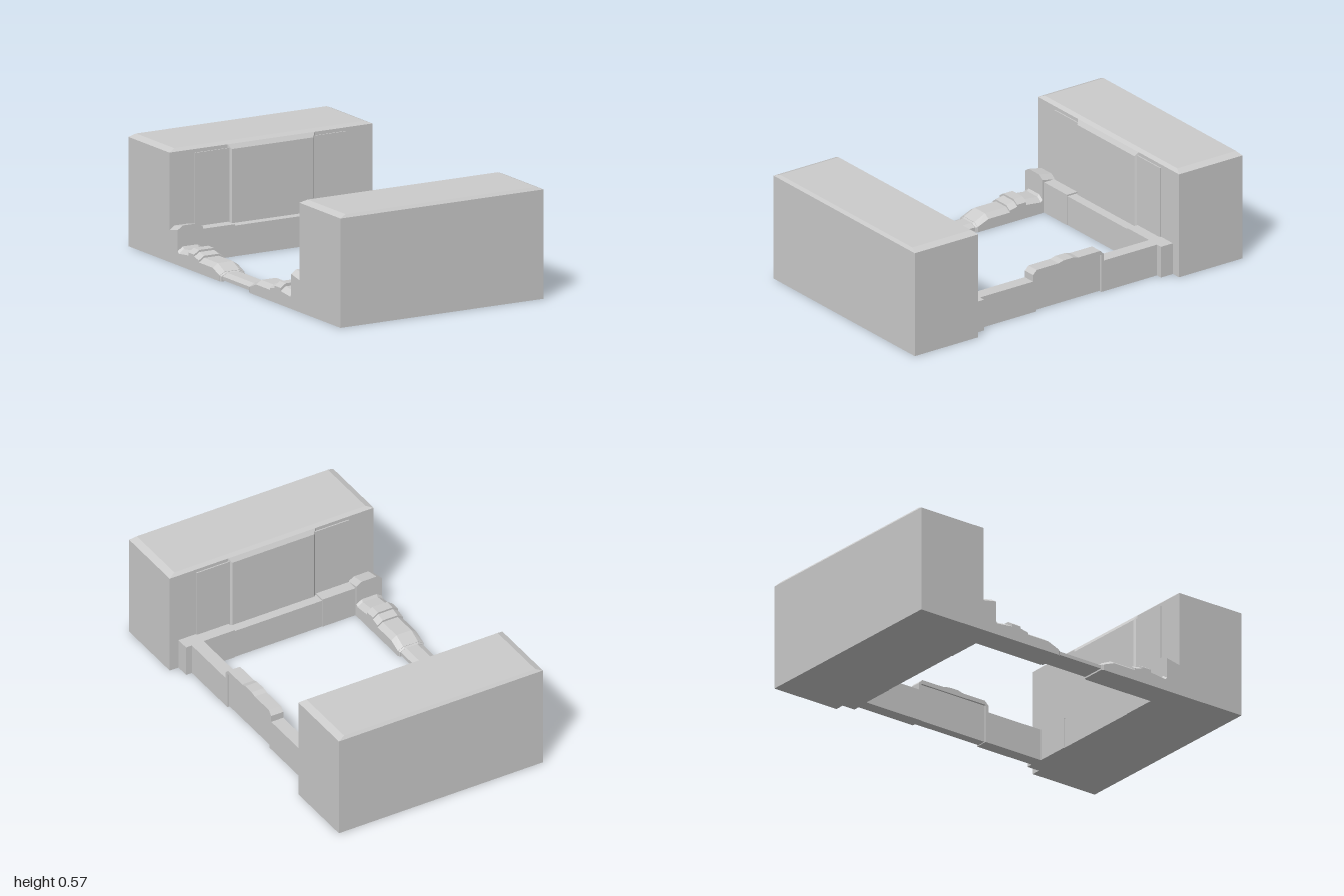
import * as THREE from 'three';
import { ConvexGeometry } from 'three/addons/geometries/ConvexGeometry.js';

const material = new THREE.MeshStandardMaterial({ color: 0xcccccc, flatShading: true });

export function createModel() {
  const model = new THREE.Group();

  const add = (parent, name, geometry) => {
    const mesh = new THREE.Mesh(geometry, material);
    mesh.name = name;
    parent.add(mesh);
    return mesh;
  };
  // Box given by its limits
  const box = (parent, name, x0, x1, y0, y1, z0, z1) => {
    const mesh = add(parent, name, new THREE.BoxGeometry(x1 - x0, y1 - y0, z1 - z0));
    mesh.position.set((x0 + x1) / 2, (y0 + y1) / 2, (z0 + z1) / 2);
    return mesh;
  };
  // Faceted solid around rectangles [x0, x1, z0, z1, y]
  const stack = (parent, name, rects) => add(parent, name, new ConvexGeometry(
    rects.flatMap(([x0, x1, z0, z1, y]) => [[x0, z0], [x1, z0], [x1, z1], [x0, z1]]
      .map(([x, z]) => new THREE.Vector3(x, y, z)))));
  // Piece of kerb between two stations [z, height, inset]
  const kerbPiece = (parent, name, a, b, base = 0) => add(parent, name, new ConvexGeometry(
    [a, b].flatMap(([z, h, inset]) => {
      const l = -0.585 + inset, r = -0.44 - inset, c = Math.min(0.02, h * 0.35);
      return [[l, base], [r, base], [r, h - c], [r - 0.03, h], [l + 0.03, h], [l, h - c]]
        .map(([x, y]) => new THREE.Vector3(x, y, z));
    })));

  // Everything at the two ends is mirrored in z
  for (const s of [1, -1]) {
    const end = new THREE.Group();
    end.name = s > 0 ? 'frontEnd' : 'backEnd';
    model.add(end);
    const zr = (a, b) => (s > 0 ? [a, b] : [-b, -a]);

    // Large block with chamfered top
    stack(end, 'block', [
      [-0.585, 0.585, ...zr(0.613, 1), 0],
      [-0.585, 0.585, ...zr(0.613, 1), 0.553],
      [-0.548, 0.548, ...zr(0.63, 0.988), 0.568],
    ]);

    // Inner wall panels
    stack(end, 'centrePanel', [
      [-0.25, 0.25, ...zr(0.613, 0.65), 0.1],
      [-0.25, 0.25, ...zr(0.613, 0.65), 0.553],
      [-0.235, 0.235, ...zr(0.598, 0.65), 0.1],
      [-0.235, 0.235, ...zr(0.598, 0.65), 0.53],
    ]);
    for (const m of [1, -1]) {
      const xs = m > 0 ? [0.24, 0.435] : [-0.44, -0.24];
      box(end, 'sidePanel', ...xs, 0.1, 0.535, ...zr(0.607, 0.65));
    }

    // Low sill along the wall
    box(end, 'sill', -0.45, 0.44, 0, 0.155, ...zr(0.548, 0.63));
    for (const xs of [[-0.45, -0.25], [0.25, 0.44]])
      box(end, 'sillEnd', ...xs, 0, 0.163, ...zr(0.545, 0.63));

    // Corner pad of the left beam
    box(end, 'beamPad', 0.43, 0.535, 0, 0.165, ...zr(0.54, 0.625));

    // Corner post of the right kerb, sloping to the wall
    kerbPiece(end, 'cornerPost', [s * 0.535, 0.197, 0], [s * 0.62, 0.18, 0]);

    // Stepped kerb running towards the centre
    const steps = [
      [[0.13, 0.04, 0.006], [0.145, 0.045, 0]],
      [[0.14, 0.045, 0], [0.205, 0.075, 0]],
      [[0.205, 0.075, 0], [0.335, 0.075, 0]],
      [[0.335, 0.085, 0], [0.38, 0.095, 0]],
      [[0.38, 0.105, 0], [0.435, 0.105, 0]],
      [[0.435, 0.09, 0], [0.525, 0.08, 0]],
      [[0.525, 0.08, 0], [0.56, 0.12, 0]],
    ];
    for (const [a, b] of steps)
      kerbPiece(end, 'kerbStep', [s * a[0], a[1], a[2]], [s * b[0], b[1], b[2]]);

    // Plain run of the left beam
    box(end, 'beam', 0.433, 0.502, 0, 0.165, ...zr(0.2, 0.56));
    box(end, 'beamRib', 0.433, 0.502, 0, 0.2, ...zr(0.2, 0.217));
  }

  // Narrow middle of the right kerb
  kerbPiece(model, 'kerbMiddle', [-0.14, 0.04, 0.01], [0.14, 0.04, 0.01], 0.008);

  // Raised middle of the left beam: recessed web and chamfered cap
  box(model, 'beamWeb', 0.443, 0.492, 0.004, 0.205, -0.205, 0.205);
  const cap = new THREE.Shape([
    [-0.217, 0.2], [0.217, 0.2], [0.195, 0.222], [0.06, 0.222], [0.03, 0.23],
    [-0.03, 0.23], [-0.06, 0.222], [-0.195, 0.222],
  ].map(([z, y]) => new THREE.Vector2(z, y)));
  const capMesh = add(model, 'beamCap',
    new THREE.ExtrudeGeometry(cap, { depth: 0.069, bevelEnabled: false }));
  capMesh.rotation.y = Math.PI / 2;
  capMesh.position.x = 0.433;

  return model;
}
